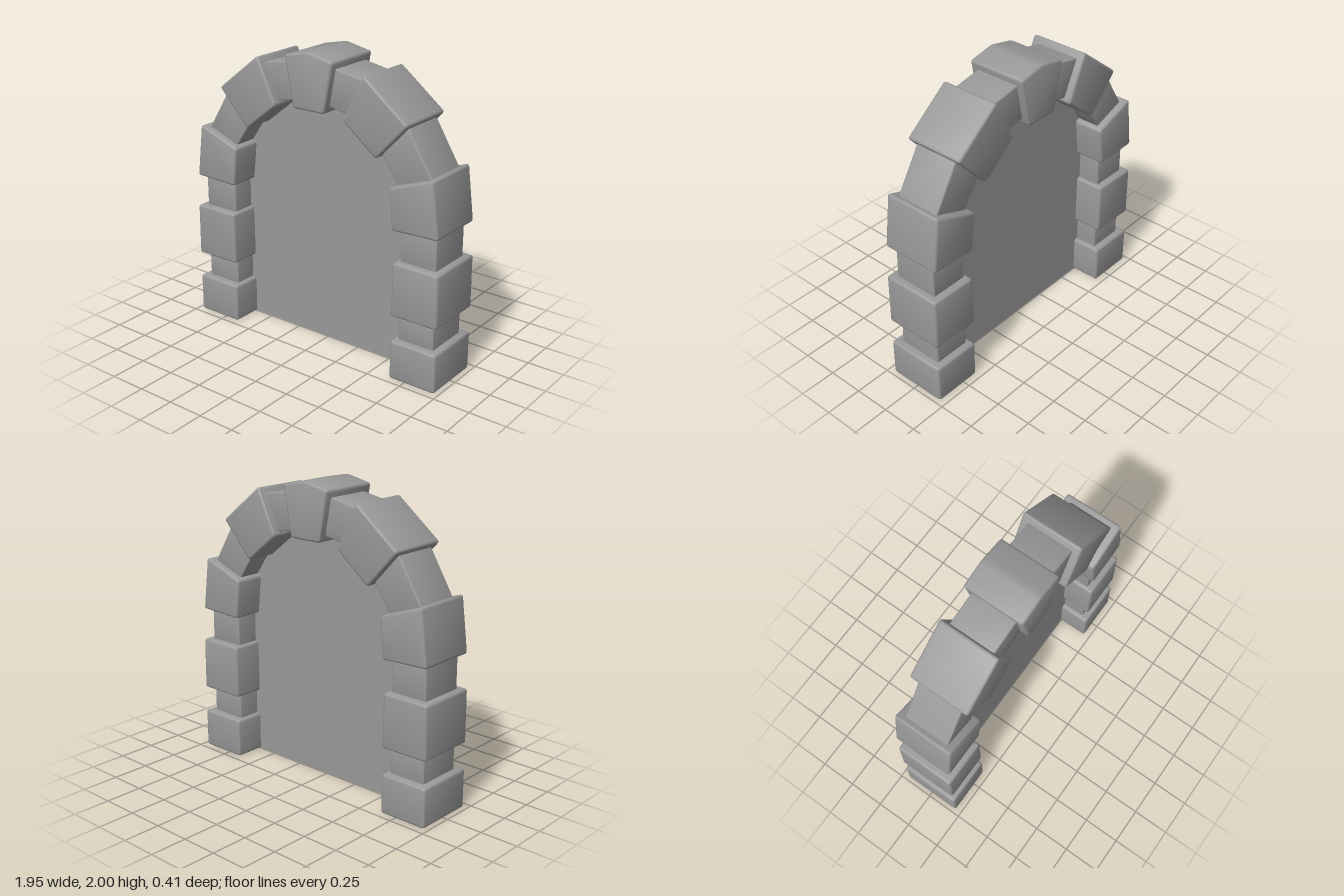
import * as THREE from 'three';
import { toCreasedNormals } from 'three/addons/utils/BufferGeometryUtils.js';

const stoneMaterial = new THREE.MeshStandardMaterial({ color: 0x999999 });
const panelMaterial = new THREE.MeshStandardMaterial({ color: 0x999999, side: THREE.DoubleSide });

const mirror = (points) => points.map(([x, y]) => [-x, y]).reverse();
const rect = (x0, x1, y0, y1) => [[x0, y0], [x1, y0], [x1, y1], [x0, y1]];
const toVectors = (points) => points.map(([x, y]) => new THREE.Vector2(x, y));

// Outline with every corner softened, starting each curve a distance r from the corner
function roundedShape(points, r) {
  const corners = toVectors(points);
  const shape = new THREE.Shape();
  const toward = (a, b) => b.clone().sub(a).setLength(r).add(a);
  corners.forEach((corner, i) => {
    const start = toward(corner, corners.at(i - 1));
    const end = toward(corner, corners[(i + 1) % corners.length]);
    if (i === 0) shape.moveTo(start.x, start.y);
    else shape.lineTo(start.x, start.y);
    shape.quadraticCurveTo(corner.x, corner.y, end.x, end.y);
  });
  shape.closePath();
  return shape;
}

// Stone cut to an outline, centred in depth, with soft edges all round
function stone(name, points, halfDepth, bevel) {
  const geometry = new THREE.ExtrudeGeometry(roundedShape(points, bevel * 1.4), {
    depth: 2 * (halfDepth - bevel),
    curveSegments: 3,
    bevelEnabled: true,
    bevelThickness: bevel,
    bevelSize: bevel,
    bevelOffset: -bevel,
    bevelSegments: 2,
  });
  geometry.translate(0, 0, bevel - halfDepth);
  const mesh = new THREE.Mesh(toCreasedNormals(geometry, 0.9), stoneMaterial);
  mesh.name = name;
  return mesh;
}

export function createModel() {
  const group = new THREE.Group();
  group.name = 'stoneArch';

  // Large projecting stones of one side, from the ground up
  const large = {
    BaseStone: rect(0.638, 0.973, 0, 0.265),
    MiddleStone: [[0.638, 0.437], [0.973, 0.437], [0.97, 0.795], [0.643, 0.797]],
    SpringerStone: [[0.633, 1.003], [0.96, 1.014], [0.913, 1.38], [0.605, 1.27]],
    HaunchStone: [[0.505, 1.427], [0.729, 1.67], [0.407, 1.922], [0.261, 1.622]],
  };

  // Narrow recessed stones, their ends buried in the large ones
  const narrow = {
    LowerLink: rect(0.668, 0.924, 0.22, 0.48),
    UpperLink: rect(0.668, 0.924, 0.75, 1.06),
    LowerArchLink: [[0.665, 1.24], [0.89, 1.335], [0.675, 1.685], [0.495, 1.485]],
    UpperArchLink: [[0.09, 1.68], [0.3, 1.638], [0.4, 1.874], [0.13, 1.924]],
  };

  for (const side of ['left', 'right']) {
    const place = side === 'left' ? (p) => p : mirror;
    for (const [name, points] of Object.entries(large)) {
      group.add(stone(side + name, place(points), 0.206, 0.014));
    }
    for (const [name, points] of Object.entries(narrow)) {
      group.add(stone(side + name, place(points), 0.156, 0.008));
    }
  }

  // Keystone with a peaked top
  const keystone = [[-0.119, 1.633], [0.119, 1.633], [0.185, 1.964], [0, 2.002], [-0.185, 1.964]];
  group.add(stone('keystone', keystone, 0.206, 0.014));

  // Thin panel filling the opening, its edge hidden inside the stones
  const half = [[0.72, 0.003], [0.72, 1.1], [0.69, 1.3], [0.56, 1.53], [0.4, 1.69], [0.14, 1.76]];
  const outline = new THREE.Shape(toVectors([...half, ...mirror(half)]));
  const panel = new THREE.Mesh(new THREE.ShapeGeometry(outline), panelMaterial);
  panel.name = 'openingPanel';
  group.add(panel);

  return group;
}
